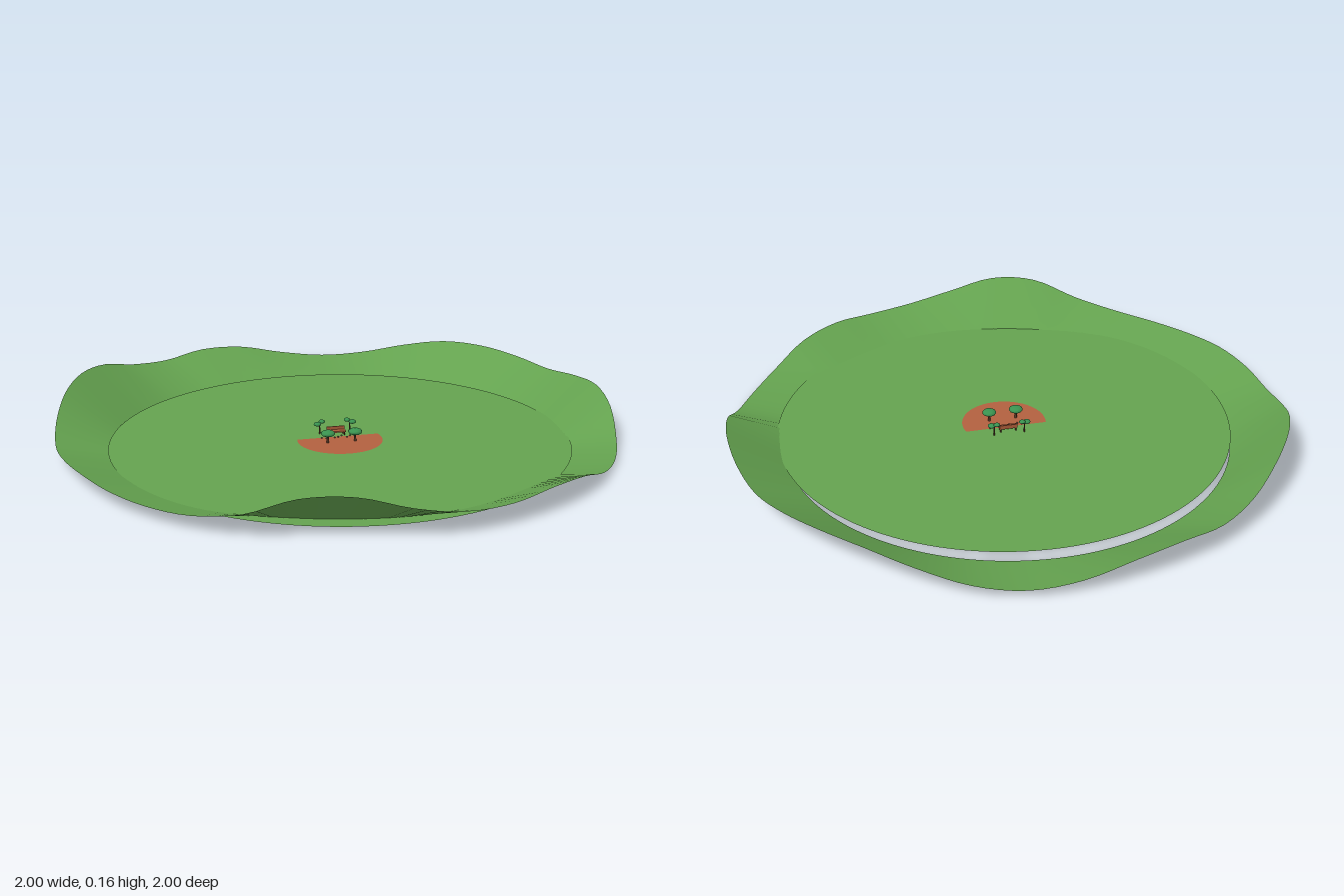
import * as THREE from 'three';

const mat = (name, color, side = THREE.FrontSide) => {
  const m = new THREE.MeshStandardMaterial({ color, side });
  m.name = name;
  return m;
};

export function createModel() {
  const model = new THREE.Group();
  const grass = mat('grass', 0x64a24f, THREE.DoubleSide);
  const soil = mat('red soil', 0xb2603f, THREE.DoubleSide);
  const leaf = mat('leaf green', 0x3a9350);
  const bark = mat('bark', 0x5b3a26);
  const wood = mat('bench wood', 0xa85a38);
  const stone = mat('stone', 0x6f5a4c);

  const add = (parent, name, geometry, material, x = 0, y = 0, z = 0) => {
    const mesh = new THREE.Mesh(geometry, material);
    mesh.name = name;
    mesh.position.set(x, y, z);
    parent.add(mesh);
    return mesh;
  };
  const GROUND = 0.012, CENTRE = 0.057;

  // Hill ring: rim heights every 10 degrees, from +x towards +z
  const heights = [
    0.13, 0.1, 0.03, 0.015, 0.03, 0.072, 0.085, 0.073, 0.078,
    0.11, 0.155, 0.148, 0.085, 0.055, 0.05, 0.055, 0.063, 0.058,
    0.05, 0.085, 0.135, 0.16, 0.148, 0.105, 0.085, 0.1, 0.088,
    0.05, 0.03, 0.045, 0.085, 0.118, 0.124, 0.113, 0.1, 0.118,
  ];
  const rim = new THREE.CatmullRomCurve3(
    heights.map((h, i) => new THREE.Vector3(i, h, 0)), true, 'catmullrom');
  const N = 144, pos = [], index = [];
  for (let i = 0; i < N; i++) {
    const a = (i / N) * Math.PI * 2, c = Math.cos(a), s = Math.sin(a);
    pos.push(0.8 * c, 0, 0.8 * s, c, rim.getPoint(i / N).y, s);
    const p = 2 * i, q = 2 * ((i + 1) % N);
    index.push(p, q, p + 1, p + 1, q, q + 1);
  }
  const ring = new THREE.BufferGeometry();
  ring.setAttribute('position', new THREE.Float32BufferAttribute(pos, 3));
  ring.setIndex(index);
  ring.computeVertexNormals();
  add(model, 'hillRing', ring, grass);

  // Meadow disc with an opening filled by the soil patch
  const patchOutline = (Type) => {
    const p = new Type();
    p.absarc(0, -CENTRE, 0.153, Math.PI - 0.23, 2 * Math.PI + 0.23, false);
    p.closePath();
    return p;
  };
  const flat = (shape) => new THREE.ShapeGeometry(shape, 64).rotateX(-Math.PI / 2);
  const meadow = new THREE.Shape();
  meadow.absarc(0, -CENTRE, 0.823, 0, Math.PI * 2, false);
  meadow.holes.push(patchOutline(THREE.Path));
  add(model, 'meadow', flat(meadow), grass, 0, GROUND, 0);
  add(model, 'soilPatch', flat(patchOutline(THREE.Shape)), soil, 0, GROUND, 0);

  // Trees: a pair with broad crowns in front, a pair with split crowns behind
  const ball = new THREE.IcosahedronGeometry(1, 1);
  for (const side of [-1, 1]) {
    const tree = new THREE.Group();
    tree.name = 'broadTree';
    tree.position.set(side * 0.05, GROUND, 0.08);
    add(tree, 'trunk', new THREE.CylinderGeometry(0.003, 0.005, 0.034, 7), bark, 0, 0.015, 0);
    add(tree, 'crown', ball, leaf, 0, 0.035, 0).scale.set(0.026, 0.012, 0.026);
    model.add(tree);

    const slim = new THREE.Group();
    slim.name = 'slimTree';
    slim.position.set(side * 0.056, GROUND, -0.026);
    add(slim, 'trunk', new THREE.CylinderGeometry(0.002, 0.003, 0.042, 6), bark, 0, 0.019, 0);
    add(slim, 'outerCrown', ball, leaf, side * 0.009, 0.038, 0.004).scale.set(0.014, 0.008, 0.014);
    add(slim, 'innerCrown', ball, leaf, -side * 0.009, 0.044, -0.004).scale.set(0.012, 0.007, 0.012);
    model.add(slim);
  }

  // Bench
  const bench = new THREE.Group();
  bench.name = 'bench';
  bench.position.set(0, GROUND, 0);
  add(bench, 'seat', new THREE.BoxGeometry(0.066, 0.005, 0.026), wood, 0, 0.014, 0);
  add(bench, 'backrest', new THREE.BoxGeometry(0.066, 0.012, 0.004), wood, 0, 0.022, -0.013);
  for (const x of [-0.028, 0.028]) for (const z of [-0.01, 0.01]) {
    add(bench, 'leg', new THREE.BoxGeometry(0.004, 0.012, 0.004), bark, x, 0.006, z);
  }
  model.add(bench);

  // Scattered pebbles around the bench
  for (let i = 0; i < 9; i++) {
    const x = -0.06 + i * 0.015, z = 0.028 + 0.012 * Math.sin(i * 2.3);
    add(model, 'pebble', ball, stone, x, GROUND + 0.002, z).scale.setScalar(0.003);
  }
  return model;
}
